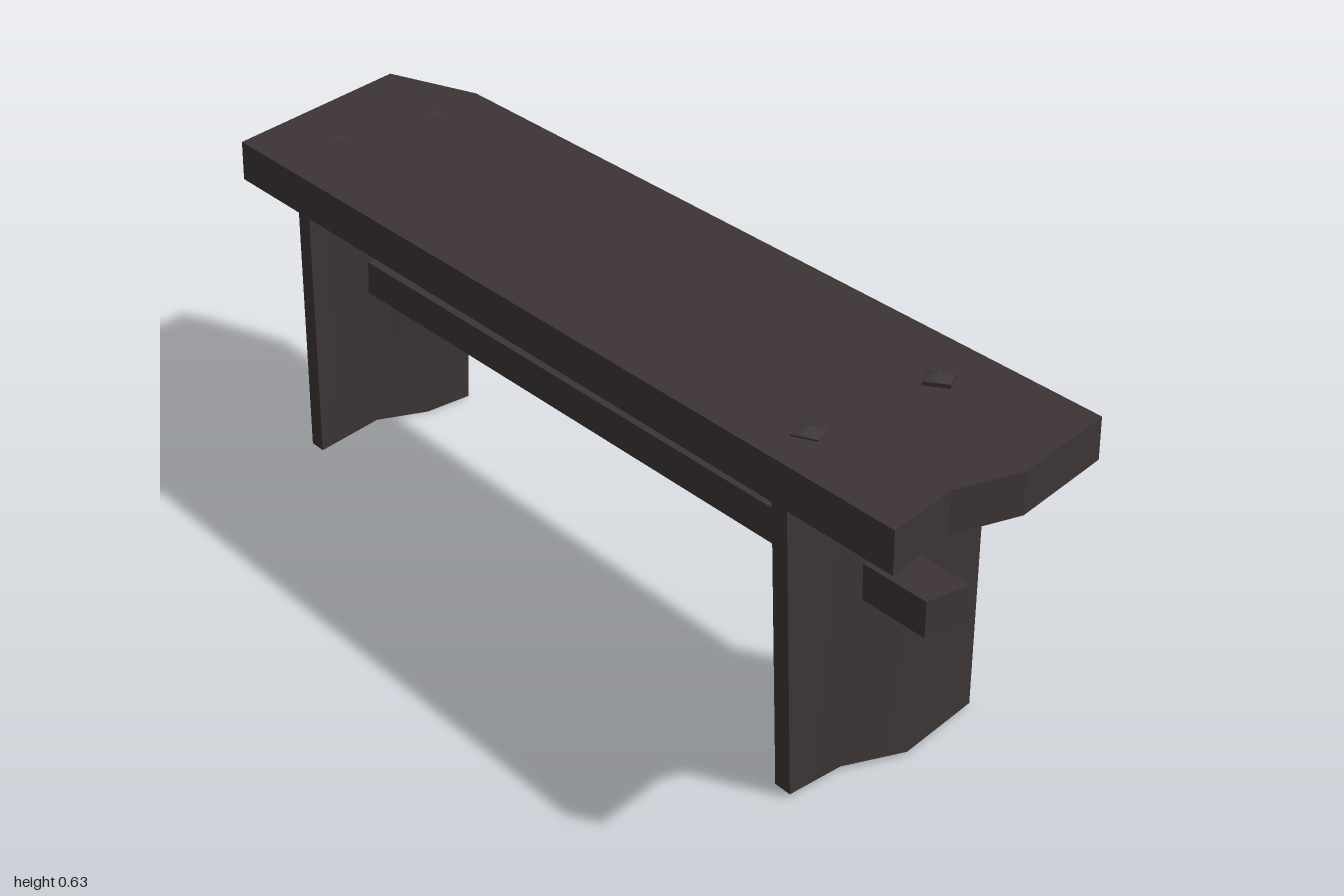
import * as THREE from 'three';
import { toCreasedNormals } from 'three/addons/utils/BufferGeometryUtils.js';

const wood = new THREE.MeshStandardMaterial({ color: 0x3d3535 });
wood.name = 'darkWood';

// Capped solid through rings of 3D points, counter-clockwise seen from the last ring.
// flat() gives the 2D coordinates used to fill the caps.
function loft(rings, flat, crease = 0.7) {
  const out = [];
  const n = rings[0].length;
  const tri = (a, b, c) => out.push(...a, ...b, ...c);
  for (let r = 0; r < rings.length - 1; r++) {
    for (let i = 0; i < n; i++) {
      const j = (i + 1) % n;
      const [a, b, c, d] = [rings[r][i], rings[r][j], rings[r + 1][j], rings[r + 1][i]];
      tri(a, b, c);
      tri(a, c, d);
    }
  }
  const first = rings[0], last = rings[rings.length - 1];
  const fill = ring => THREE.ShapeUtils.triangulateShape(ring.map(flat), []);
  for (const [a, b, c] of fill(last)) tri(last[a], last[b], last[c]);
  for (const [a, b, c] of fill(first)) tri(first[a], first[c], first[b]);
  const geo = new THREE.BufferGeometry();
  geo.setAttribute('position', new THREE.Float32BufferAttribute(out, 3));
  return toCreasedNormals(geo, crease);
}
const fromAbove = p => new THREE.Vector2(p[2], p[0]);
const fromFront = p => new THREE.Vector2(p[0], p[1]);

function add(group, name, geo) {
  const mesh = new THREE.Mesh(geo, wood);
  mesh.name = name;
  group.add(mesh);
  return mesh;
}

// Wavy plank leg: the ripple is strong at the foot and fades towards the seat
function legGeometry(foot, topZ, sign, widen) {
  const thick = 0.037;
  const ring = (y, t) => {
    const outer = foot.map(([x, z]) => [
      x * (1 + widen * t), y, THREE.MathUtils.lerp(z, topZ + (z - 0.72) * 0.4, t)]);
    const inner = outer.map(([x, , z]) => [x, y, z - thick]).reverse();
    return [...outer, ...inner].map(([x, yy, z]) => [x * sign, yy, z * sign]);
  };
  return loft([ring(sign > 0 ? 0.006 : 0, 0), ring(0.56, 1)], fromAbove);
}

export function createModel() {
  const bench = new THREE.Group();
  bench.name = 'bench';

  // Seat plank with rough-cut ends, very slightly tilted
  const outline = [[-0.245, 1], [-0.1, 0.955], [0.03, 0.975], [0.245, 0.91],
    [0.245, -0.81], [0.17, -1], [-0.245, -0.855]];
  const level = y => outline.map(([x, z]) => [x, y + 0.003 * z, z]);
  add(bench, 'seat', loft([level(0.538), level(0.612)], fromAbove, 0.3));

  // Legs: the rear one is narrower and turned half round
  add(bench, 'frontLeg', legGeometry(
    [[-0.2, 0.73], [-0.085, 0.715], [0.03, 0.745], [0.21, 0.693]], 0.704, 1, 0.03));
  add(bench, 'backLeg', legGeometry(
    [[-0.178, 0.797], [-0.075, 0.786], [0.025, 0.814], [0.178, 0.765]], 0.815, -1, 0.03));
  bench.getObjectByName('backLeg').geometry = legGeometry(
    [[-0.178, 0.797], [-0.075, 0.786], [0.025, 0.814], [0.178, 0.765]], 0.748, -1, 0.03);

  // Stretcher running through both legs, trimmed at the rear tip
  const section = (z, x0, x1, y0, y1) => [[x0, y0, z], [x1, y0, z], [x1, y1, z], [x0, y1, z]];
  add(bench, 'stretcher', loft([
    section(-0.905, -0.032, 0.033, 0.285, 0.333),
    section(-0.84, -0.045, 0.04, 0.286, 0.35),
    section(0.86, -0.05, 0.04, 0.302, 0.366),
  ], fromFront, 0.2));

  // Square pegs with low pointed heads: x, z, peak height, turn
  const pegs = [[-0.148, 0.69, 0.626, 0.5], [0.127, 0.67, 0.63, 0.65],
    [-0.102, -0.77, 0.618, 0.35], [0.12, -0.77, 0.617, 0.4]];
  pegs.forEach(([x, z, peak, turn], i) => {
    const base = 0.59, rim = peak - 0.009;
    const peg = new THREE.Group();
    peg.name = `peg${i + 1}`;
    const shaft = add(peg, 'pegShaft', new THREE.BoxGeometry(0.046, rim - base, 0.046));
    shaft.position.y = (base + rim) / 2;
    const cap = new THREE.ConeGeometry(0.046 / Math.SQRT2, peak - rim, 4, 1, true);
    cap.rotateY(Math.PI / 4);
    add(peg, 'pegHead', cap).position.y = (peak + rim) / 2;
    peg.position.set(x, 0, z);
    peg.rotation.y = turn;
    bench.add(peg);
  });

  return bench;
}
